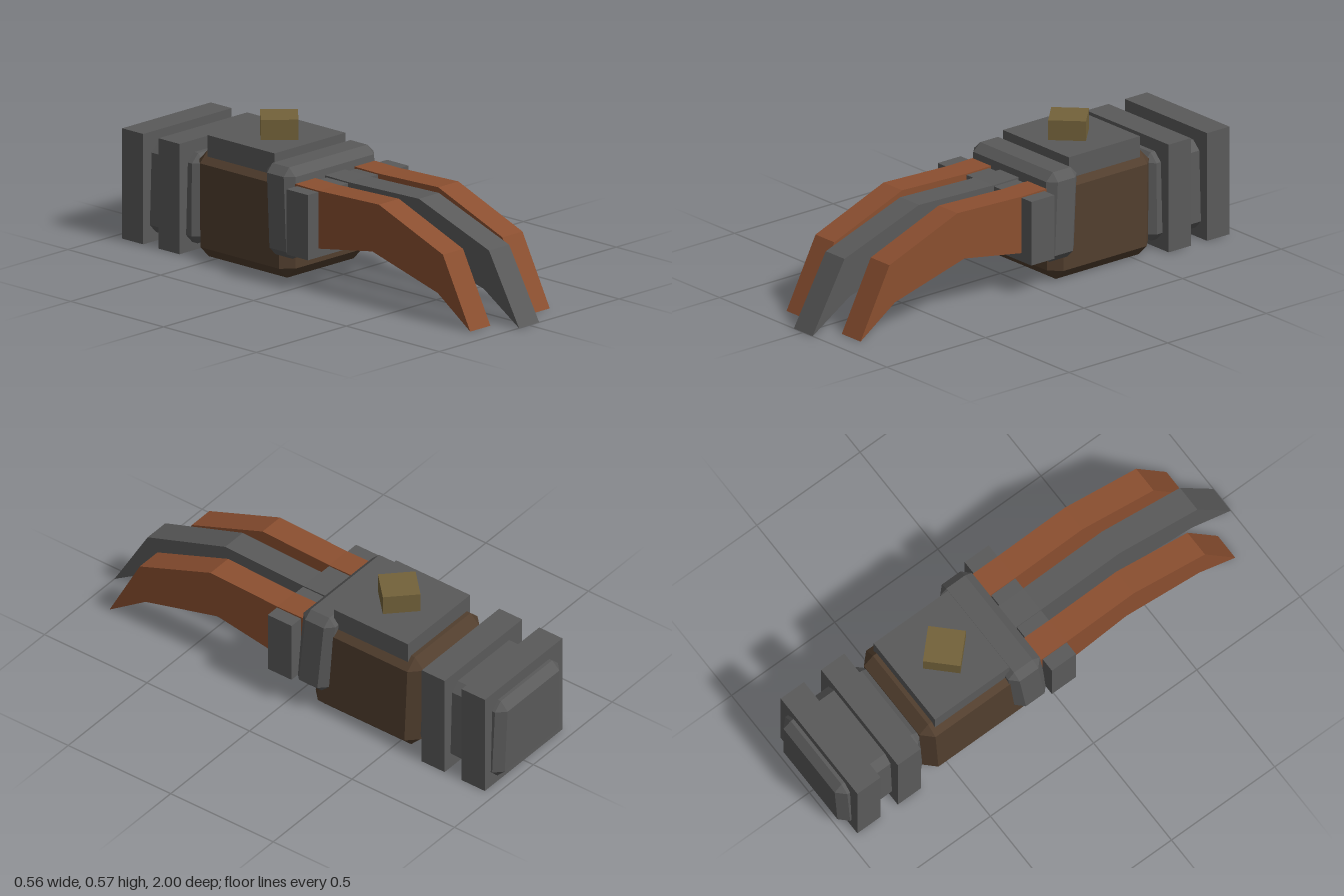
import * as THREE from 'three';
import { ConvexGeometry } from 'three/addons/geometries/ConvexGeometry.js';

const mat = (name, color) => {
  const m = new THREE.MeshStandardMaterial({ color });
  m.name = name;
  return m;
};

export function createModel() {
  const steel = mat('dark steel', 0x5a5a5a);
  const leather = mat('brown leather', 0x513e2e);
  const copper = mat('copper', 0x8b4f30);
  const gold = mat('old gold', 0x73623a);
  const model = new THREE.Group();

  const add = (name, geometry, material) => {
    const mesh = new THREE.Mesh(geometry, material);
    mesh.name = name;
    model.add(mesh);
    return mesh;
  };

  // Plain block between y and z limits, centred on x = 0
  const block = (name, halfX, y0, y1, z0, z1, material) => {
    const g = new THREE.BoxGeometry(halfX * 2, y1 - y0, z1 - z0);
    g.translate(0, (y0 + y1) / 2, (z0 + z1) / 2);
    return add(name, g, material);
  };

  // Block with chamfered edges; narrows by taper and leans back by lean at the top
  const chamferBlock = (name, halfX, y0, y1, z0, z1, c, taper, lean, material) => {
    const pts = [];
    const hy = (y1 - y0) / 2, hz = (z1 - z0) / 2;
    for (const sx of [-1, 1]) for (const sy of [-1, 1]) for (const sz of [-1, 1]) {
      for (let axis = 0; axis < 3; axis++) {
        const inset = [c, c, c];
        inset[axis] = 0;
        const y = sy * (hy - inset[1]);
        const t = y / hy;
        pts.push(new THREE.Vector3(
          sx * (halfX - inset[0] - taper * (t + 1) / 2),
          (y0 + y1) / 2 + y,
          (z0 + z1) / 2 + sz * (hz - inset[2]) - lean * t
        ));
      }
    }
    return add(name, new ConvexGeometry(pts), material);
  };

  // Hand body, wrist and the bands around them
  chamferBlock('handBody', 0.23, 0, 0.425, -0.597, -0.085, 0.045, 0.008, 0.006, leather);
  chamferBlock('wristBlock', 0.21, 0.035, 0.395, -0.998, -0.585, 0.035, 0.012, 0.004, steel);
  block('wristBandFront', 0.246, 0, 0.445, -0.757, -0.645, steel);
  block('wristBandRear', 0.246, 0, 0.445, -0.953, -0.84, steel);
  chamferBlock('handBand', 0.261, 0.1, 0.46, -0.19, -0.036, 0.032, 0.012, 0.014, steel);
  block('knuckleBar', 0.28, 0.132, 0.395, -0.036, 0.08, steel);

  // Top plate with a square stud turned on its corner
  block('topPlate', 0.197, 0.39, 0.492, -0.54, -0.18, steel);
  const stud = new THREE.BoxGeometry(0.147, 0.093, 0.147);
  stud.rotateY(Math.PI / 4);
  stud.translate(0, 0.527, -0.346);
  add('stud', stud, gold);

  // Claws: side profile as (z, y), extruded across x
  const claw = (name, x, halfX, profile, material) => {
    const shape = new THREE.Shape(profile.map(([z, y]) => new THREE.Vector2(-z, y)));
    const g = new THREE.ExtrudeGeometry(shape, { depth: halfX * 2, bevelEnabled: false });
    g.translate(0, 0, -halfX);
    g.rotateY(Math.PI / 2);
    g.translate(x, 0, 0);
    add(name, g, material);
  };
  const sideProfile = [
    [-0.05, 0.402], [0.08, 0.4], [0.405, 0.411], [0.75, 0.28],
    [0.897, 0], [0.722, 0.12], [0.37, 0.215], [-0.05, 0.145],
  ];
  const midProfile = [
    [-0.05, 0.402], [0.08, 0.4], [0.46, 0.411], [0.838, 0.28],
    [1, 0], [0.81, 0.12], [0.41, 0.215], [-0.05, 0.145],
  ];
  claw('middleClaw', 0, 0.056, midProfile, steel);
  claw('leftClaw', 0.165, 0.056, sideProfile, copper);
  claw('rightClaw', -0.165, 0.056, sideProfile, copper);

  return model;
}
